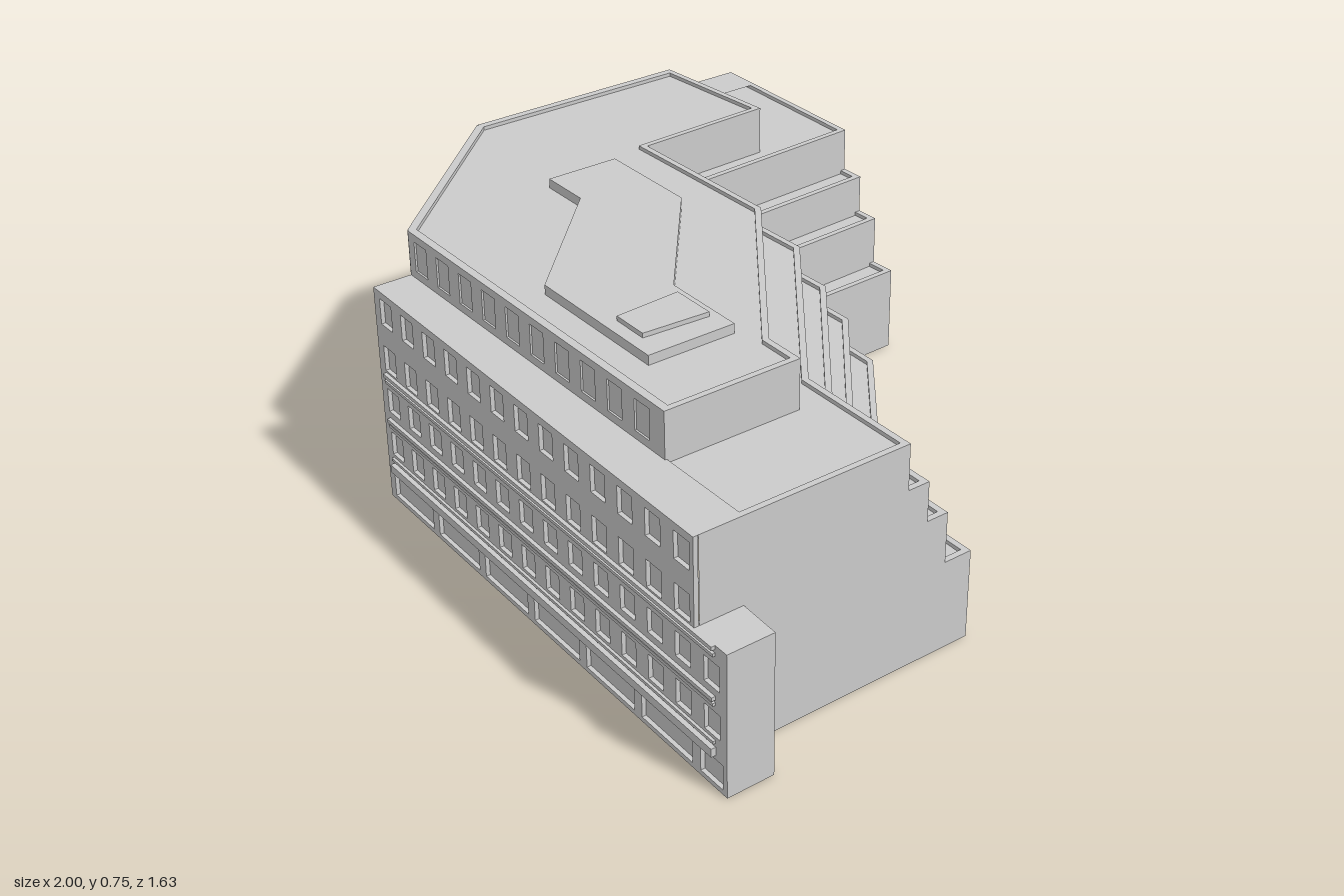
import * as THREE from 'three';

const grey = new THREE.MeshStandardMaterial({ color: 0xcccccc, flatShading: true, side: THREE.DoubleSide });

function add(parent, name, geometry) {
  const mesh = new THREE.Mesh(geometry, grey);
  mesh.name = name;
  parent.add(mesh);
  return mesh;
}

// Shift a plan path [x, z] towards the inside of the building, with mitred corners
function inset(path, d) {
  const n = path.length - 1;
  const closed = path[0][0] === path[n][0] && path[0][1] === path[n][1];
  const normal = (a, b) => new THREE.Vector2(b[1] - a[1], a[0] - b[0]).normalize();
  return path.map((p, i) => {
    const before = i > 0 ? normal(path[i - 1], p) : closed ? normal(path[n - 1], p) : null;
    const after = i < n ? normal(p, path[i + 1]) : closed ? normal(p, path[1]) : null;
    const a = before || after, b = after || before;
    const k = d / (1 + a.dot(b));
    return [p[0] + (a.x + b.x) * k, p[1] + (a.y + b.y) * k];
  });
}

// Skin between rows of { path, y }; paths run rightwards as seen from outside
function skin(rows) {
  const v = [];
  const put = (r, i) => v.push(r.path[i][0], r.y, r.path[i][1]);
  for (let j = 0; j < rows.length - 1; j++) {
    const lo = rows[j], hi = rows[j + 1];
    for (let i = 0; i < lo.path.length - 1; i++) {
      put(lo, i); put(lo, i + 1); put(hi, i + 1);
      put(lo, i); put(hi, i + 1); put(hi, i);
    }
  }
  const g = new THREE.BufferGeometry();
  g.setAttribute('position', new THREE.Float32BufferAttribute(v, 3));
  g.computeVertexNormals();
  return g;
}

// Wall topped by a thin parapet
const parapetWall = (path, y0, y1) => {
  const inner = inset(path, 0.016);
  return skin([{ path, y: y0 }, { path, y: y1 }, { path: inner, y: y1 }, { path: inner, y: y1 - 0.012 }]);
};

const vectors = pts => pts.map(p => new THREE.Vector2(...p));
const planShape = pts => new THREE.Shape(vectors(pts.map(([x, z]) => [x, -z])));
const slab = (pts, y) => new THREE.ShapeGeometry(planShape(pts)).rotateX(-Math.PI / 2).translate(0, y, 0);
const block = (pts, y0, y1) => new THREE.ExtrudeGeometry(planShape(pts), { depth: y1 - y0, bevelEnabled: false })
  .rotateX(-Math.PI / 2).translate(0, y0, 0);

// Wall panel with recessed windows [along, up, width, height] and optional clear openings
function facade(parent, name, from, to, outline, windows, bands = [], openings = []) {
  const g = new THREE.Group();
  g.name = name;
  g.position.set(from[0], 0, from[1]);
  g.rotation.y = Math.atan2(from[1] - to[1], to[0] - from[0]);
  parent.add(g);
  const pierced = holes => {
    const shape = new THREE.Shape(vectors(outline));
    for (const [u, y, w, h] of holes) {
      const x0 = u - w / 2, x1 = u + w / 2, y0 = y - h / 2, y1 = y + h / 2;
      shape.holes.push(new THREE.Path(vectors([[x0, y0], [x0, y1], [x1, y1], [x1, y0]])));
    }
    return shape;
  };
  add(g, name + 'Wall', new THREE.ExtrudeGeometry(pierced([...windows, ...openings]), { depth: 0.012, bevelEnabled: false })
    .translate(0, 0, -0.007));
  add(g, name + 'Glass', new THREE.ShapeGeometry(pierced(openings)).translate(0, 0, -0.006));
  for (const [y, h, out, u0, u1] of bands) {
    add(g, name + 'Band', new THREE.BoxGeometry(u1 - u0, h, out).translate((u0 + u1) / 2, y, out / 2));
  }
}

// Grid of equal windows
function windowGrid(rows, start, step, count, w, h) {
  const out = [];
  for (const y of rows) for (let i = 0; i < count; i++) out.push([start + i * step, y, w, h]);
  return out;
}

const bandRows = (u0, u1) => [[0.11, 0.022, 0.017], [0.135, 0.008, 0.012], [0.235, 0.008, 0.012],
  [0.25, 0.01, 0.015], [0.362, 0.008, 0.012], [0.38, 0.01, 0.015]].map(b => [...b, u0, u1]);

export function createModel() {
  const model = new THREE.Group();
  model.name = 'steppedBuilding';
  const base = 0.01, R = 0.887, B = -0.72;

  // Stepped rear terraces: rear path, heights, and how far the end wall runs
  const terraces = [
    { y0: base, y1: 0.25, end: -0.45, path: [[R, 0.022], [0.583, 0.022], [0.095, -0.362], [-0.247, -0.365], [-0.258, -0.73]] },
    { y0: 0.238, y1: 0.385, end: -0.5, path: [[R, 0.1], [0.57, 0.1], [0.07, -0.295], [-0.31, -0.285], [-0.33, -0.727]] },
    { y0: 0.373, y1: 0.49, end: -0.6, path: [[R, 0.16], [0.56, 0.16], [0.05, -0.235], [-0.37, -0.22], [-0.395, -0.724]] },
    { y0: 0.478, y1: 0.61, end: -0.98, path: [[R, 0.22], [0.54, 0.22], [0.02, -0.172], [-0.43, -0.155], [-0.46, B]] },
  ];
  terraces.forEach((t, i) => {
    add(model, 'terraceWall', parapetWall([[R, 0.785], ...t.path, [t.end, B]], t.y0, t.y1));
    const rest = i < 3 ? [...terraces[i + 1].path].reverse()
      : [[-0.98, B], [-0.98, 0.21], [-0.87, 0.21], [-0.44, 0.67], [-0.44, 0.775], [R, 0.785]];
    add(model, 'terraceFloor', slab([...t.path, ...rest], t.y1 - 0.01));
  });

  // Top storey with its parapet roof
  const top = [[0.62, 0.67], [0.62, 0.31], [0.51, 0.31], [-0.02, -0.08], [-0.49, -0.07], [-0.505, -0.455],
    [-0.87, -0.42], [-0.87, 0.21], [-0.44, 0.67], [0.62, 0.67]];
  add(model, 'topStoreyWall', parapetWall(top, 0.598, 0.73));
  add(model, 'mainRoof', slab(top.slice(0, -1), 0.72));

  // Low raised roof deck and skylight
  const deck = [[-0.45, 0.06], [-0.16, 0.06], [0.2, 0.345], [0.43, 0.345], [0.43, 0.58], [0.02, 0.58], [-0.31, 0.26], [-0.45, 0.26]];
  add(model, 'roofDeck', block(deck, 0.718, 0.745));
  add(model, 'skylight', block([[0.25, 0.37], [0.37, 0.37], [0.36, 0.545], [0.26, 0.545]], 0.74, 0.757));

  // Front block: ledge, returns and low end bay; its face runs slightly skewed
  const F0 = [-0.44, 0.775], F1 = [1, 0.795], FR = [R, 0.793];
  const wall = (path, y1) => add(model, 'returnWall', skin([{ path, y: base }, { path, y: y1 }]));
  add(model, 'frontLedge', slab([[-0.44, 0.67], [R, 0.67], FR, F0], 0.61));
  add(model, 'frontBayRoof', slab([[R, 0.67], [1, 0.675], F1, FR], 0.385));
  wall([[-0.44, 0.67], F0], 0.61);
  wall([F1, [1, 0.675], [R, 0.67]], 0.385);
  // Side block: ledge, returns and low end bay
  add(model, 'sideLedge', slab([[-0.98, B], [-0.87, B], [-0.87, 0.21], [-0.98, 0.205]], 0.61));
  add(model, 'sideBayRoof', slab([[-0.98, -0.815], [-0.87, -0.81], [-0.87, B], [-0.98, B]], 0.385));
  wall([[-0.98, 0.205], [-0.87, 0.21]], 0.61);
  wall([[-0.87, B], [-0.87, -0.81], [-0.98, -0.815]], 0.385);

  // Front facade
  const low = [0.18, 0.305], high = [0.425, 0.555];
  facade(model, 'frontFacade', F0, F1,
    [[0, base], [1.44, base], [1.44, 0.385], [1.327, 0.385], [1.327, 0.61], [0, 0.61]],
    [...windowGrid(low, 0.055, 0.1025, 14, 0.055, 0.065), ...windowGrid(high, 0.055, 0.1025, 13, 0.055, 0.07),
      ...windowGrid([0.055], 0.12, 0.22, 6, 0.19, 0.065), [1.385, 0.055, 0.08, 0.065]],
    bandRows(0.03, 1.4));
  facade(model, 'frontTopFacade', [-0.44, 0.67], [0.62, 0.67],
    [[0, 0.605], [1.06, 0.605], [1.06, 0.73], [0, 0.73]], windowGrid([0.67], 0.055, 0.1025, 10, 0.055, 0.08));

  // Side facade
  facade(model, 'sideFacade', [-0.98, -0.815], [-0.98, 0.205],
    [[0, base], [1.02, base], [1.02, 0.61], [0.095, 0.61], [0.095, 0.385], [0, 0.385]],
    [...windowGrid(low, 0.05, 0.1025, 10, 0.055, 0.065), ...windowGrid(high, 0.1525, 0.1025, 9, 0.055, 0.07),
      ...windowGrid([0.055], 0.12, 0.2, 5, 0.17, 0.065)],
    bandRows(0.02, 1));
  facade(model, 'sideTopFacade', [-0.87, -0.42], [-0.87, 0.21],
    [[0, 0.605], [0.63, 0.605], [0.63, 0.73], [0, 0.73]], windowGrid([0.67], 0.06, 0.1025, 6, 0.055, 0.08));

  // Corner facade with entrance doors, open behind the bow window
  facade(model, 'cornerFacade', [-0.87, 0.21], [-0.44, 0.67],
    [[0, base], [0.63, base], [0.63, 0.73], [0, 0.73]],
    [...windowGrid([0.555, 0.67], 0.06, 0.1025, 6, 0.055, 0.065), ...windowGrid([0.18, 0.305, 0.425], 0.06, 0.5125, 2, 0.05, 0.065),
      ...windowGrid([0.058], 0.09, 0.11, 5, 0.08, 0.08)],
    [[0.108, 0.016, 0.014, 0, 0.63]], [[0.312, 0.295, 0.38, 0.35]]);

  // Curved bow window over the entrance
  const bow = new THREE.Group();
  bow.name = 'bowWindow';
  bow.position.set(-0.466, 0, 0.259);
  model.add(bow);
  const mid = Math.atan2(-0.73, 0.683), half = 0.632;
  const polar = (r, a) => [Math.sin(a) * r, Math.cos(a) * r];
  const arc = r => {
    const pts = Array.from({ length: 17 }, (_, i) => polar(r, mid + (i / 8 - 1) * half));
    // Short cheeks back to the wall
    const back = ([x, z]) => [x + 0.73 * 0.025, z - 0.683 * 0.025];
    return [back(pts[0]), ...pts, back(pts[16])];
  };
  const outer = arc(0.347), inner = arc(0.337);
  const rows = [];
  for (const y of [0.11, 0.225, 0.25, 0.35, 0.375, 0.466]) {
    rows.push({ path: inner, y }, { path: outer, y }, { path: outer, y: y + 0.014 }, { path: inner, y: y + 0.014 });
  }
  add(bow, 'bowShell', skin(rows));
  add(bow, 'bowRoof', slab(outer, 0.48));
  for (let i = 0; i <= 6; i++) {
    const a = mid + (i / 3 - 1) * half;
    const [x, z] = polar(0.34, a);
    const bar = add(bow, 'bowMullion', new THREE.BoxGeometry(0.01, 0.36, 0.01));
    bar.position.set(x, 0.295, z);
    bar.rotation.y = a;
  }
  return model;
}
